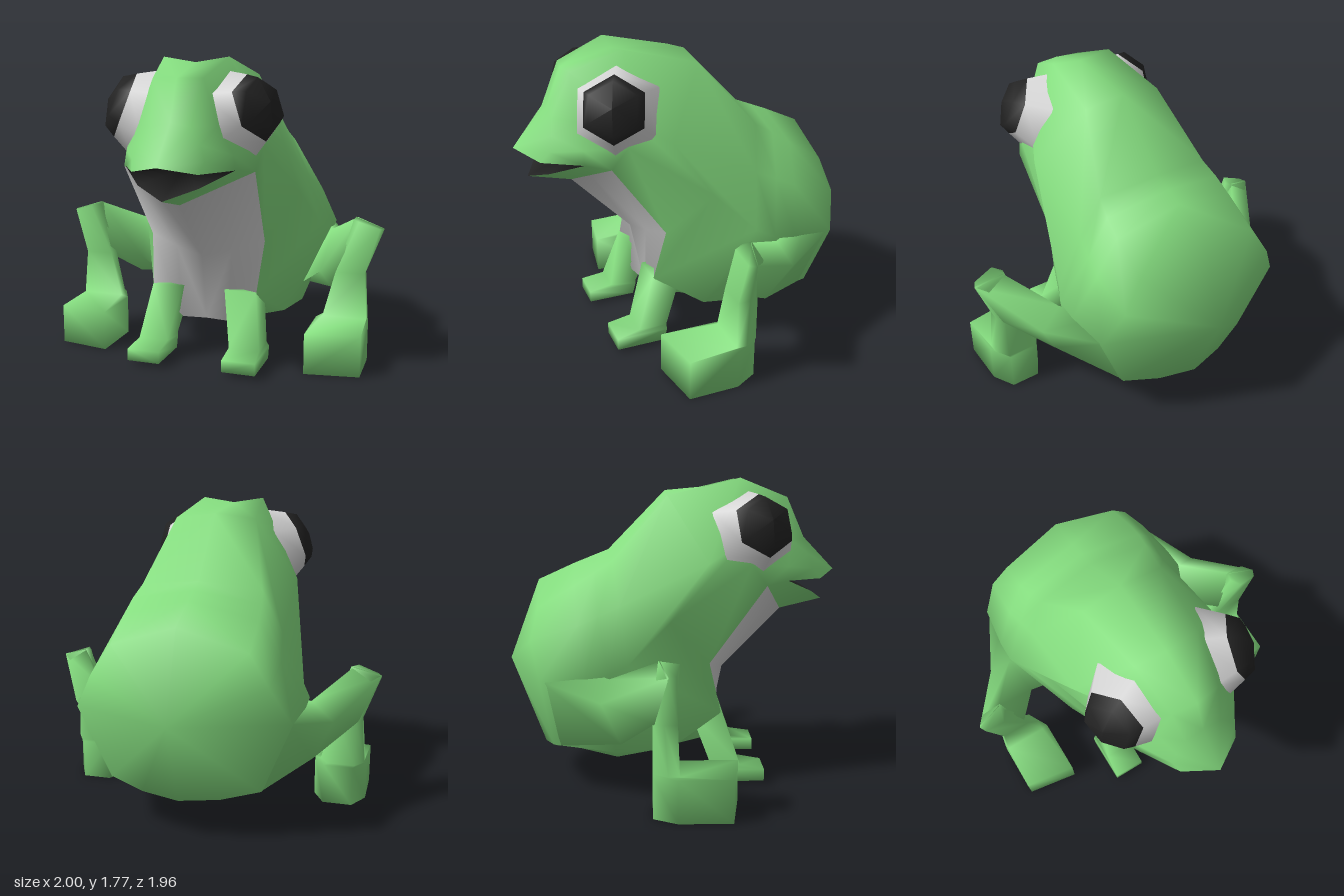
import * as THREE from 'three';
import { mergeVertices } from 'three/addons/utils/BufferGeometryUtils.js';

const flat = (name, color) => {
  const m = new THREE.MeshStandardMaterial({ color });
  m.name = name;
  return m;
};

// Smooth geometry from a list of triangles, each of three [x, y, z] points
function fromTriangles(tris) {
  const g = new THREE.BufferGeometry();
  g.setAttribute('position', new THREE.Float32BufferAttribute(tris.flat(2), 3));
  const merged = mergeVertices(g, 1e-4);
  merged.computeVertexNormals();
  return merged;
}

const mirror = ([x, y, z]) => [-x, y, z];
const withMirror = (tris) => tris.concat(tris.map(([a, b, c]) => [mirror(a), mirror(c), mirror(b)]));

// Skin of the left half: rows run front to back, points run top to bottom
function skin(rows, keep = () => true) {
  const tris = [];
  for (let i = 0; i < rows.length - 1; i++) {
    for (let j = 0; j < rows[i].length - 1; j++) {
      if (!keep(i, j)) continue;
      const a = rows[i][j], b = rows[i + 1][j], c = rows[i + 1][j + 1], d = rows[i][j + 1];
      tris.push([a, d, c], [a, c, b]);
    }
  }
  return tris;
}

// Closed limb through rings of equal point count, on the side given by s
function limb(rings, s) {
  const r = rings.map((ring) => ring.map(([x, y, z]) => [x * s, y, z]));
  const n = r[0].length, p = r[0], q = r[r.length - 1];
  const tris = [];
  for (let i = 0; i < r.length - 1; i++) {
    for (let j = 0; j < n; j++) {
      const k = (j + 1) % n;
      tris.push([r[i][j], r[i][k], r[i + 1][k]], [r[i][j], r[i + 1][k], r[i + 1][j]]);
    }
  }
  for (let j = 1; j < n - 1; j++) tris.push([p[0], p[j + 1], p[j]], [q[0], q[j], q[j + 1]]);
  // Turn the faces outward if the enclosed volume is negative
  const volume = tris.reduce((sum, [a, b, c]) => sum + new THREE.Vector3(...a).dot(
    new THREE.Vector3(...b).cross(new THREE.Vector3(...c))), 0);
  return fromTriangles(volume < 0 ? tris.map(([a, b, c]) => [a, c, b]) : tris);
}

const rect = (y, x0, x1, z0, z1) => [[x0, y, z0], [x1, y, z0], [x1, y, z1], [x0, y, z1]];

// Six-sided level ring with its back edge narrowed by inset
const hex = (y, x0, x1, inset, zBack, zMid, zOuter, zInner) => [
  [x0 + inset, y, zBack], [x1 - inset, y, zBack], [x1, y, zMid],
  [x1, y, zOuter], [x0, y, zInner], [x0, y, zMid],
];

export function createModel() {
  const green = flat('skin green', 0x85dd7f);
  const white = flat('pale grey', 0xd8d8d8);
  const black = flat('black', 0x222222);
  black.side = THREE.DoubleSide;

  const model = new THREE.Group();
  model.name = 'frog';
  const add = (name, geometry, material, parent = model) => {
    const mesh = new THREE.Mesh(geometry, material);
    mesh.name = name;
    parent.add(mesh);
    return mesh;
  };

  // Half cross-sections of the torso: top, shoulder, upper side, side, lower side, underside, bottom
  const torso = [
    [[0, 1.74, 0.4], [0.19, 1.77, 0.39], [0.35, 1.42, 0.4], [0.4, 1.29, 0.44],
      [0.38, 1.17, 0.53], [0.19, 1.08, 0.595], [0, 0.99, 0.66]],
    [[0, 1.7, -0.04], [0.24, 1.67, -0.03], [0.45, 1.3, 0.2], [0.5, 0.98, -0.02],
      [0.35, 0.72, 0.21], [0.17, 0.67, 0.27], [0, 0.63, 0.31]],
    [[0, 1.35, -0.38], [0.35, 1.31, -0.34], [0.46, 1.06, -0.3], [0.58, 0.76, -0.25],
      [0.32, 0.42, 0.28], [0.14, 0.235, 0.26], [0, 0.23, 0.23]],
    [[0, 1.31, -0.48], [0.37, 1.25, -0.44], [0.48, 1.01, -0.42], [0.63, 0.72, -0.35],
      [0.42, 0.25, 0.0], [0.2, 0.19, 0.0], [0, 0.16, -0.03]],
    [[0, 1.27, -0.58], [0.38, 1.18, -0.55], [0.5, 0.96, -0.53], [0.63, 0.7, -0.48],
      [0.46, 0.23, -0.33], [0.2, 0.115, -0.33], [0, 0.05, -0.33]],
    [[0, 1.17, -0.8], [0.38, 1.05, -0.76], [0.49, 0.88, -0.79], [0.6, 0.68, -0.73],
      [0.43, 0.27, -0.68], [0.22, 0.23, -0.75], [0, 0.22, -0.8]],
    Array(7).fill([0, 0.69, -0.98]),
  ];

  // Upper head, from the snout tip back to the neck
  const tip = [0, 1.23, 0.98], corner = [0.31, 1.19, 0.66], lip = [0.18, 1.19, 0.87];
  const head = [
    Array(5).fill(tip),
    [[0, 1.44, 0.78], [0.11, 1.42, 0.78], [0.17, 1.33, 0.8], [0.2, 1.25, 0.82], lip],
    [[0, 1.66, 0.69], [0.14, 1.66, 0.67], [0.22, 1.42, 0.68], [0.3, 1.27, 0.66], corner],
    torso[0].slice(0, 5),
  ];

  // Lower jaw
  const jawMid = [0.17, 1.113, 0.82], jawTip = [0, 1.05, 0.91];
  const jaw = [[corner, jawMid, jawTip], torso[0].slice(4)];

  // Body skin, with the chest panel as a second material
  const isChest = (i, j) => i < 2 && j >= 4;
  const greenTris = withMirror([...skin(torso, (i, j) => !isChest(i, j)), ...skin(head), ...skin(jaw)]);
  const chestTris = withMirror(skin(torso, isChest));
  const body = fromTriangles([...greenTris, ...chestTris]);
  body.addGroup(0, greenTris.length * 3, 0);
  body.addGroup(greenTris.length * 3, chestTris.length * 3, 1);
  add('body', body, [green, white]);

  // Mouth lining
  const throat = [0, 1.18, 0.6];
  add('mouth', fromTriangles(withMirror([
    [throat, corner, lip], [throat, lip, tip],
    [throat, jawMid, corner], [throat, jawTip, jawMid],
  ])), black);

  // Limb cross-sections, from the body outward
  const thigh = [
    [[0.5, 0.78, -0.64], [0.585, 0.68, -0.73], [0.42, 0.26, -0.66], [0.4, 0.32, -0.2]],
    [[0.64, 0.7, -0.35], [0.77, 0.6, -0.39], [0.65, 0.34, -0.29], [0.6, 0.46, -0.19]],
    [[0.84, 0.84, -0.08], [1.0, 0.79, -0.04], [0.88, 0.52, -0.11], [0.74, 0.56, -0.01]],
  ];
  const shin = [
    [[0.83, 0.84, -0.09], [0.95, 0.79, -0.1], [1.0, 0.785, -0.04],
      [0.98, 0.79, 0.0], [0.86, 0.83, 0.02], [0.82, 0.83, -0.04]],
    hex(0.52, 0.73, 0.9, 0.03, -0.12, -0.06, 0.01, 0.01),
    hex(0.25, 0.66, 0.92, 0.05, -0.12, -0.04, 0.02, 0.02),
    hex(0.235, 0.62, 0.93, 0.07, -0.12, 0.01, 0.3, 0.35),
    hex(0, 0.62, 0.93, 0.07, -0.12, 0.01, 0.3, 0.35),
  ];
  const foreleg = [
    rect(0.43, 0.13, 0.32, 0.1, 0.285),
    rect(0.12, 0.19, 0.37, 0.22, 0.39),
    rect(0.095, 0.19, 0.385, 0.22, 0.53),
    rect(0.025, 0.19, 0.385, 0.24, 0.53),
  ];

  for (const [side, s] of [['left', 1], ['right', -1]]) {
    add(`${side}Thigh`, limb(thigh, s), green);
    add(`${side}ShinAndFoot`, limb(shin, s), green);
    add(`${side}FrontLeg`, limb(foreleg, s), green);

    // Six-sided eye turned outward, up and forward
    const eye = new THREE.Group();
    eye.name = `${side}Eye`;
    eye.position.set(s * 0.27, 1.46, 0.46);
    eye.lookAt(s * (0.27 + 0.86), 1.46 + 0.36, 0.46 + 0.37);
    model.add(eye);
    add('eyeball', new THREE.CylinderGeometry(0.185, 0.265, 0.145, 6)
      .translate(0, 0.0525, 0).rotateX(Math.PI / 2), white, eye);
    const dome = [[0.185, 0.125], [0.145, 0.19], [0, 0.225]].map(([r, h]) => new THREE.Vector2(r, h));
    add('pupil', new THREE.LatheGeometry(dome, 6).rotateX(Math.PI / 2), black, eye);
  }
  return model;
}
